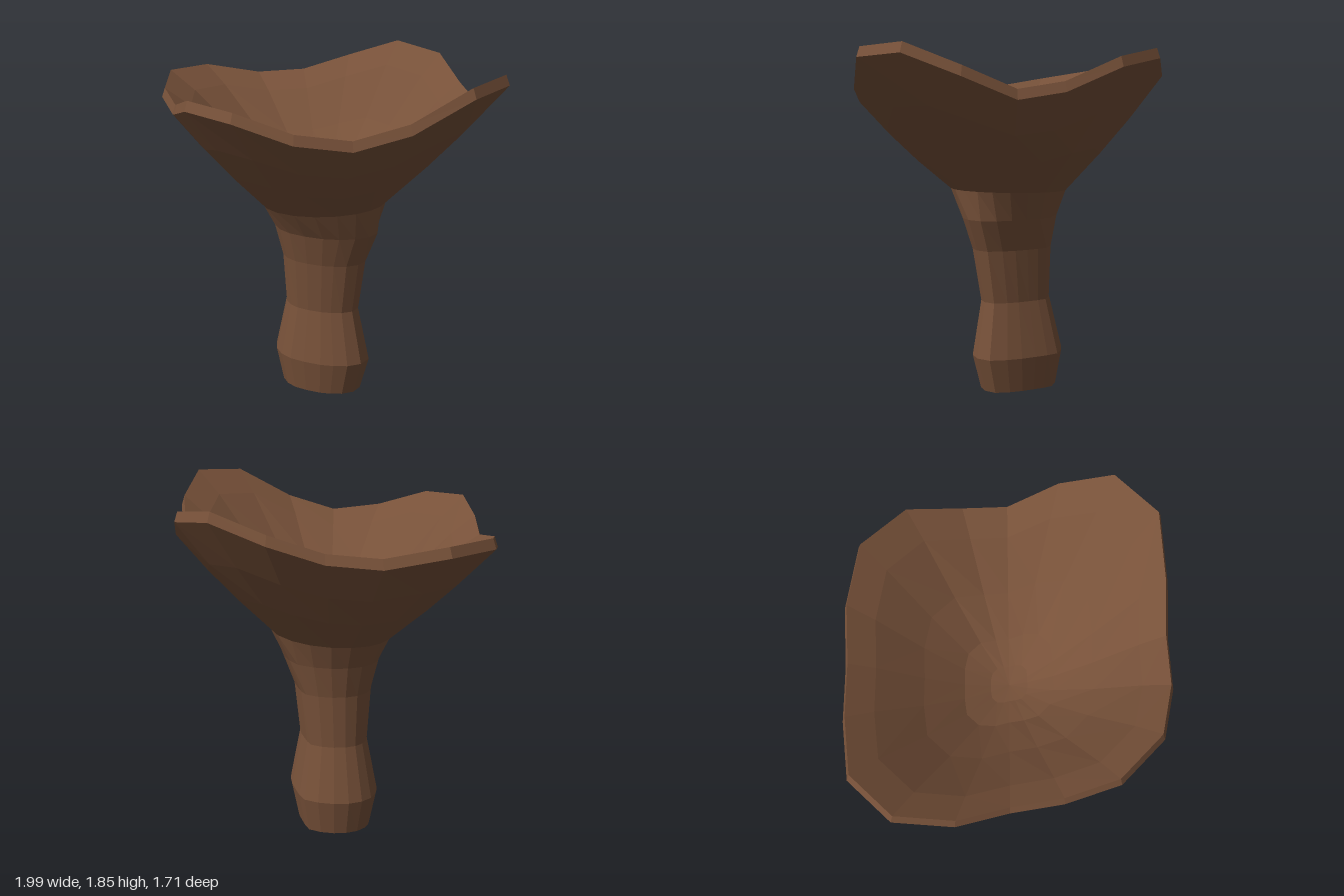
import * as THREE from 'three';

const brown = new THREE.MeshStandardMaterial({ color: 0x775139 });
brown.name = 'mushroomBrown';

// Wavy brim, clockwise from the back: x, z, height of the upper edge
const RIM = [
  [0.09, -0.86, 1.82], [0.38, -0.77, 1.78], [0.57, -0.56, 1.665], [0.70, -0.37, 1.63],
  [0.88, -0.17, 1.74], [0.99, 0.08, 1.845], [0.91, 0.36, 1.825], [0.67, 0.53, 1.67],
  [0.43, 0.65, 1.595], [0.19, 0.78, 1.63], [-0.09, 0.85, 1.72], [-0.38, 0.765, 1.735],
  [-0.56, 0.57, 1.665], [-0.70, 0.36, 1.61], [-0.88, 0.17, 1.65], [-1.0, -0.09, 1.695],
  [-0.92, -0.365, 1.69], [-0.67, -0.54, 1.635], [-0.43, -0.66, 1.65], [-0.19, -0.79, 1.73],
];
const N = RIM.length;

// Stem section in unit size, flattened between the back and one side
const SECTION = [
  [0, -1], [0.2, -0.85], [0.4, -0.65], [0.62, -0.42], [0.82, -0.15],
  [1, 0.2], [0.95, 0.55], [0.75, 0.8], [0.5, 0.93], [0.25, 1],
  [-0.1, 1], [-0.4, 0.95], [-0.65, 0.8], [-0.85, 0.55], [-0.96, 0.28],
  [-1, 0], [-0.95, -0.3], [-0.8, -0.58], [-0.58, -0.8], [-0.3, -0.95],
];

const lerp = THREE.MathUtils.lerp;
const ring = (f) => RIM.map((p, i) => f(p, i));

// Skin a list of rings with flat facets
function loft(name, rings) {
  const pos = [];
  const tri = (...corners) => {
    const [a, b, c] = corners;
    const same = (p, q) => p.every((v, k) => v === q[k]);
    if (same(a, b) || same(b, c) || same(a, c)) return;
    pos.push(...a, ...b, ...c);
  };
  for (let j = 0; j < rings.length - 1; j++) {
    for (let i = 0; i < N; i++) {
      const k = (i + 1) % N;
      const lo = rings[j], hi = rings[j + 1];
      tri(lo[i], hi[i], hi[k]);
      tri(lo[i], hi[k], lo[k]);
    }
  }
  const geo = new THREE.BufferGeometry();
  geo.setAttribute('position', new THREE.Float32BufferAttribute(pos, 3));
  geo.computeVertexNormals();
  const mesh = new THREE.Mesh(geo, brown);
  mesh.name = name;
  return mesh;
}

// Round neck where stem and cap meet
const neck = ring((p) => {
  const a = Math.atan2(p[1], p[0]);
  const x = -0.005 + 0.335 * Math.cos(a);
  return [x, 1.078 + 0.05 * x, -0.005 + 0.305 * Math.sin(a)];
});

// Stem ring from its extents; round = how far it turns into an ellipse
function stemRing([y, x0, x1, z0, z1, round]) {
  return ring((p, i) => {
    const a = Math.atan2(p[1], p[0]);
    const u = lerp(SECTION[i][0], Math.cos(a), round);
    const v = lerp(SECTION[i][1], Math.sin(a), round);
    return [(x0 + x1) / 2 + u * (x1 - x0) / 2, y, (z0 + z1) / 2 + v * (z1 - z0) / 2];
  });
}

// Underside ring between neck (t = 0) and brim (t = 1)
const underRing = (t, sag) => ring((p, i) => [
  lerp(neck[i][0], p[0], t),
  lerp(neck[i][1], p[2] - 0.05, t) - sag,
  lerp(neck[i][2], p[1], t),
]);

// Hollow ring at share f of the brim radius and share g of its height
const hollowRing = (f, g) => ring((p) => [p[0] * f, lerp(1.15, p[2], g), p[1] * f]);

export function createModel() {
  const group = new THREE.Group();
  group.name = 'mushroom';

  const stemRings = [
    [0, -0.27, 0.205, -0.25, 0.13, 0],
    [0.19, -0.31, 0.26, -0.285, 0.165, 0],
    [0.485, -0.24, 0.195, -0.215, 0.125, 0],
    [0.77, -0.25, 0.24, -0.23, 0.165, 0.1],
    [0.94, -0.29, 0.31, -0.265, 0.215, 0.4],
  ].map(stemRing);
  const baseCentre = ring(() => [-0.03, 0, -0.06]);
  group.add(loft('stem', [baseCentre, ...stemRings, neck]));

  const brimLow = underRing(1, 0);
  group.add(loft('capUnderside', [neck, underRing(0.37, 0.02), underRing(0.68, 0.02), brimLow]));

  const brimTop = hollowRing(0.98, 1);
  group.add(loft('capBrim', [brimLow, brimTop]));

  group.add(loft('capHollow', [
    brimTop, hollowRing(0.82, 0.82), hollowRing(0.54, 0.43),
    hollowRing(0.29, 0.14), hollowRing(0.12, 0.03), hollowRing(0, 0),
  ]));
  return group;
}
